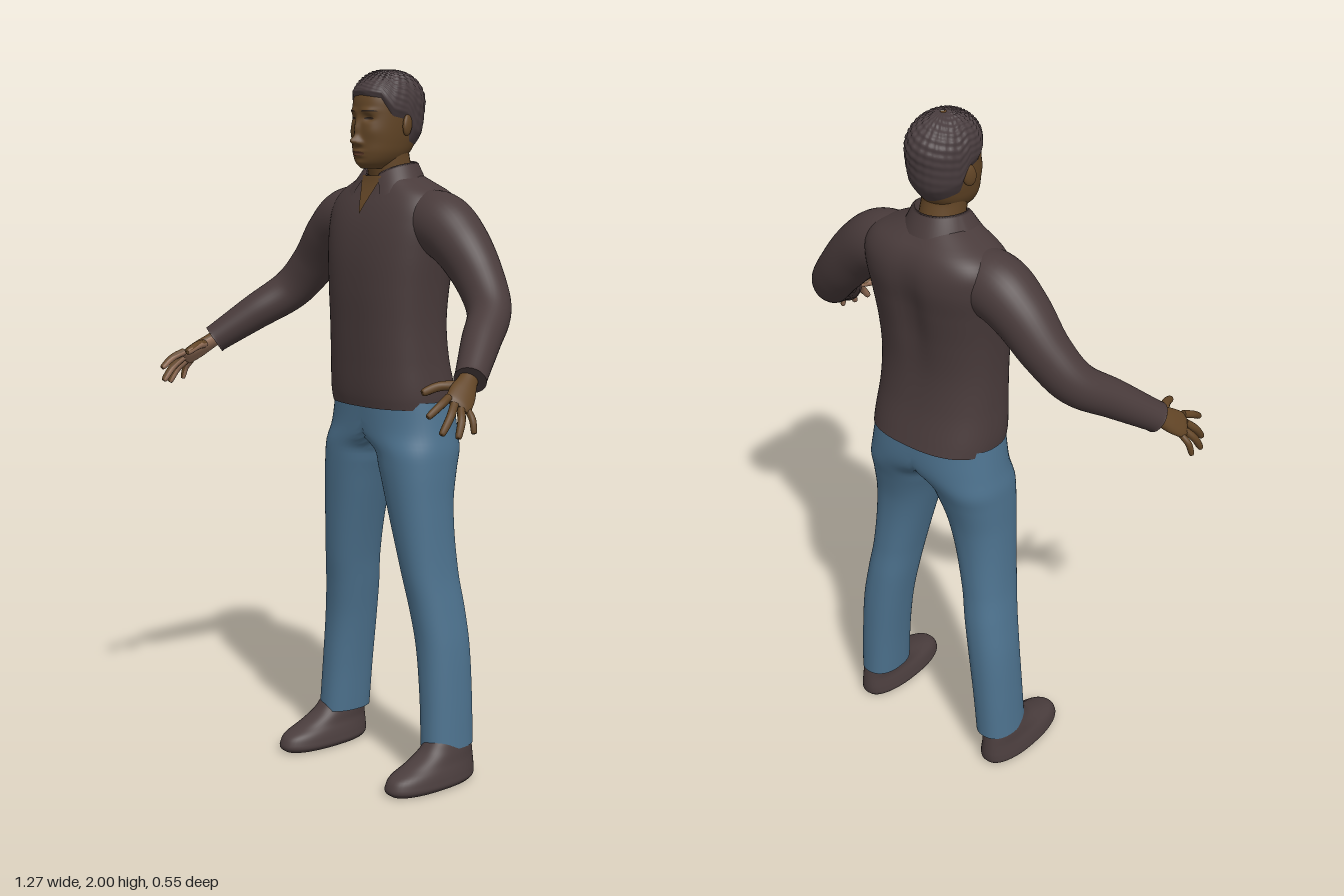
import * as THREE from 'three';
import { mergeGeometries, mergeVertices } from 'three/addons/utils/BufferGeometryUtils.js';

const V = (x, y, z) => new THREE.Vector3(x, y, z);
const mat = (name, color, side = THREE.FrontSide) => {
  const m = new THREE.MeshStandardMaterial({ color, side });
  m.name = name;
  return m;
};

// Smooth surface closed around u, running along v; f(u, v) gives a point
function surface(nu, nv, f, caps = true) {
  const pos = [], idx = [];
  for (let j = 0; j <= nv; j++)
    for (let i = 0; i < nu; i++) pos.push(...f(i / nu, j / nv).toArray());
  const tri = (a, b, c) => {
    if (pos[a * 3] || pos[b * 3] || pos[c * 3]) idx.push(a, b, c); // leave the mid-plane open
  };
  for (let j = 0; j < nv; j++)
    for (let i = 0; i < nu; i++) {
      const a = j * nu + i, b = j * nu + (i + 1) % nu;
      tri(a, b, a + nu);
      tri(b, b + nu, a + nu);
    }
  if (caps) for (const end of [0, 1]) {
    const start = pos.length / 3, c = V(0, 0, 0);
    for (let i = 0; i < nu; i++) {
      const p = f(i / nu, end);
      c.addScaledVector(p, 1 / nu);
      pos.push(p.x, p.y, p.z);
    }
    pos.push(c.x, c.y, c.z);
    for (let i = 0; i < nu; i++) {
      const a = start + i, b = start + (i + 1) % nu;
      idx.push(...(end ? [a, b, start + nu] : [b, a, start + nu]));
    }
  }
  return build(pos, idx);
}

function build(pos, idx) {
  const g = new THREE.BufferGeometry();
  g.setAttribute('position', new THREE.Float32BufferAttribute(pos, 3));
  g.setIndex(idx);
  g.computeVertexNormals();
  return g;
}

// Rows [y, xIn, xOut, zFront, zBack] become a smooth profile over y
const profile = rows => {
  const c = new THREE.CubicInterpolant(rows.map(r => r[0]), rows.flatMap(r => r.slice(1)), 4);
  return y => Array.from(c.evaluate(y));
};
const pw = (v, e) => Math.sign(v) * Math.abs(v) ** e;
function ring([x0, x1, zf, zb], y, a, n) {
  return V((x0 + x1) / 2 + (x1 - x0) / 2 * pw(Math.sin(a), 2 / n), y,
    (zf + zb) / 2 + (zf - zb) / 2 * pw(Math.cos(a), 2 / n));
}
const frontZ = ([x0, x1, zf, zb], x, n) => (zf + zb) / 2 + (zf - zb) / 2 *
  Math.max(0, 1 - Math.abs((x - (x0 + x1) / 2) / ((x1 - x0) / 2)) ** n) ** (1 / n);

// Tube through rows [x, y, z, radiusA, radiusB], with radiusA along ref
function limb(rows, ref, nu = 28, nv = 40) {
  const c = new THREE.CubicInterpolant(rows.map((_, i) => i), rows.flat(), 5);
  const at = t => Array.from(c.evaluate(t));
  return surface(nu, nv, (u, v) => {
    const t = v * (rows.length - 1);
    const p = at(t), q0 = at(Math.max(0, t - 0.05)), q1 = at(Math.min(rows.length - 1, t + 0.05));
    const T = V(q1[0] - q0[0], q1[1] - q0[1], q1[2] - q0[2]).normalize();
    const A = ref.clone().addScaledVector(T, -ref.dot(T)).normalize();
    const B = T.clone().cross(A), a = u * Math.PI * 2;
    return V(p[0], p[1], p[2]).addScaledVector(A, p[3] * Math.cos(a)).addScaledVector(B, p[4] * Math.sin(a));
  });
}

// Thin patch lying on a front surface z(x, y)
function patch(z, x0, x1, low, high, nx = 20, ny = 14) {
  const pos = [], idx = [];
  for (let j = 0; j <= ny; j++)
    for (let i = 0; i <= nx; i++) {
      const x = x0 + (x1 - x0) * i / nx, y = low(x) + (high(x) - low(x)) * j / ny;
      pos.push(x, y, z(x, y));
      const a = j * (nx + 1) + i, b = a + nx + 1;
      if (i < nx && j < ny) idx.push(a, a + 1, b, a + 1, b + 1, b);
    }
  return build(pos, idx);
}

function mirrored(geo) {
  const g = geo.clone(), ix = g.index.array;
  g.scale(-1, 1, 1);
  for (let i = 0; i < ix.length; i += 3) [ix[i], ix[i + 1]] = [ix[i + 1], ix[i]];
  g.computeVertexNormals();
  return g;
}

// Two material groups: faces turned towards dir go to the second
function splitByFacing(g, dir, limit) {
  const p = g.attributes.position, ix = g.index.array, parts = [[], []];
  const v = [V(), V(), V()], n = V();
  for (let i = 0; i < ix.length; i += 3) {
    v.forEach((q, k) => q.fromBufferAttribute(p, ix[i + k]));
    new THREE.Triangle(...v).getNormal(n);
    parts[n.dot(dir) > limit ? 1 : 0].push(ix[i], ix[i + 1], ix[i + 2]);
  }
  g.setIndex(parts.flat());
  g.addGroup(0, parts[0].length, 0);
  g.addGroup(parts[0].length, parts[1].length, 1);
  return g;
}

// Head shape: table below, dome above, with facial bumps [x, y, sizeX, sizeY, depth]
const headTable = profile([
  [1.73, -.03, .03, -.012, -.09], [1.745, -.046, .046, .003, -.13], [1.77, -.061, .061, .01, -.16],
  [1.8, -.069, .069, .011, -.18], [1.84, -.075, .075, .01, -.195], [1.88, -.078, .078, .007, -.2],
  [1.92, -.079, .079, .004, -.204], [2, -.079, .079, 0, -.204]]);
const bumps = [
  [0, 1.805, .012, .012, .025], [0, 1.838, .009, .026, .012], [.015, 1.8, .007, .007, .007],
  [.03, 1.887, .02, .008, .005], [.031, 1.866, .014, .009, -.008], [0, 1.777, .02, .005, .007],
  [0, 1.766, .018, .005, .007], [0, 1.743, .02, .01, .006], [.046, 1.83, .02, .02, .004]];
const face = (x, y) => bumps.reduce((s, [bx, by, sx, sy, d]) =>
  s + d * Math.exp(-(((Math.abs(x) - bx) / sx) ** 2) - ((y - by) / sy) ** 2), 0);
function headSection(y) {
  const s = y > 1.9 ? Math.sqrt(Math.max(0, 1 - ((y - 1.9) / .09) ** 2.2)) : 1;
  const [x0, x1, zf, zb] = headTable(y), m = (zf + zb) / 2;
  return [x0 * s, x1 * s, m + (zf - m) * s, m + (zb - m) * s];
}
function headPoint(a, y, off = 0) {
  const p = ring(headSection(y), y, a, 2.2);
  if (Math.cos(a) > 0) p.z += face(p.x, y);
  p.x += off * Math.sin(a);
  p.z += off * Math.cos(a);
  p.y += off * Math.max(0, (y - 1.9) / .09);
  return p;
}
const faceZ = (x, y) => frontZ(headSection(y), x, 2.2) + face(x, y) + .0015;

// Lower edge of the hair, from forehead round to nape
const hairEdge = a => {
  const t = Math.abs(Math.atan2(Math.sin(a), Math.cos(a))) / Math.PI;
  const k = [[0, 1.928], [.25, 1.92], [.38, 1.87], [.5, 1.862], [.6, 1.8], [1, 1.772]];
  const i = Math.max(1, k.findIndex(e => e[0] >= t - 1e-6));
  return THREE.MathUtils.mapLinear(t, k[i - 1][0], k[i][0], k[i - 1][1], k[i][1]);
};

export function createModel() {
  const root = new THREE.Group();
  root.name = 'standingMan';
  const shirt = mat('shirt', 0x493b3b, THREE.DoubleSide), jeans = mat('jeans', 0x4d728e, THREE.DoubleSide);
  const skin = mat('skin', 0x624526), palm = mat('palm', 0x9a745c), hairM = mat('hair', 0x483c3e);
  const shoeM = mat('shoe', 0x4b3e3e), dark = mat('browAndEye', 0x2a1e16), lipM = mat('lips', 0x533322);
  const add = (name, geo, m) => {
    const mesh = new THREE.Mesh(geo, m);
    mesh.name = name;
    root.add(mesh);
  };
  const pair = (name, geo, m) => {
    add('left' + name, geo, m);
    add('right' + name, mirrored(geo), m);
  };
  const TAU = Math.PI * 2;

  // Jeans: one leg with half the hips, mirrored and welded
  const legP = profile([
    [.105, .168, .285, -.05, -.212], [.25, .155, .277, -.055, -.215], [.4, .135, .265, -.055, -.215],
    [.5, .118, .25, -.045, -.21], [.6, .1, .235, -.03, -.2], [.8, .048, .222, -.01, -.2],
    [.9, .015, .22, -.003, -.222], [.95, -.01, .218, -.002, -.238], [1, -.12, .21, -.002, -.25],
    [1.09, -.2, .198, 0, -.25]]);
  const leg = surface(56, 70, (u, v) => {
    const y = .105 + .985 * v, p = ring(legP(y), y, u * TAU, 2.3);
    p.x = Math.max(0, p.x);
    return p;
  }, false);
  const both = [leg, mirrored(leg)].map(g => { g.deleteAttribute('normal'); return g; });
  const pants = mergeVertices(mergeGeometries(both), 1e-4);
  pants.computeVertexNormals();
  add('jeans', pants, jeans);

  // Shoes
  const shoeP = profile([
    [0, .185, .29, .085, -.2], [.01, .174, .301, .099, -.209], [.03, .174, .301, .098, -.212],
    [.05, .178, .297, .082, -.211], [.07, .184, .291, .035, -.209], [.1, .186, .286, -.025, -.205],
    [.13, .19, .28, -.055, -.2]]);
  pair('Shoe', surface(48, 26, (u, v) => ring(shoeP(.13 * v), .13 * v, u * TAU, 2.3)), shoeM);

  // Shirt body, with a shallow groove down the back
  const torsoP = profile([
    [1.07, -.188, .188, .015, -.272], [1.1, -.189, .189, .02, -.265], [1.2, -.182, .182, .025, -.242],
    [1.3, -.18, .18, .028, -.232], [1.4, -.186, .186, .03, -.238], [1.5, -.198, .198, .025, -.252],
    [1.58, -.208, .208, .01, -.262], [1.63, -.204, .204, -.008, -.255], [1.665, -.175, .175, -.025, -.237],
    [1.69, -.125, .125, -.036, -.212], [1.71, -.085, .085, -.042, -.19]]);
  add('shirtBody', surface(72, 70, (u, v) => {
    const y = 1.07 + .64 * v, a = u * TAU, p = ring(torsoP(y), y, a, 2.5);
    if (Math.cos(a) < 0) {
      p.z += .016 * Math.exp(-((p.x / .04) ** 2) - ((y - 1.48) / .14) ** 2);
      p.y += .014 * -Math.cos(a) * (1 - v) ** 8;
    }
    return p;
  }), shirt);

  // Sleeves
  pair('Sleeve', limb([
    [.08, 1.59, -.125, .08, .08], [.19, 1.58, -.125, .088, .09], [.27, 1.53, -.125, .08, .08],
    [.35, 1.443, -.12, .066, .069], [.42, 1.362, -.088, .058, .062], [.48, 1.295, 0, .052, .053],
    [.54, 1.225, .09, .043, .043], [.55, 1.213, .105, .043, .043]], V(0, 0, 1), 36, 56), shirt);

  // Open neckline, neck and folded collar
  add('openNeckline', patch((x, y) => frontZ(torsoP(y), x, 2.5) + .004, -.04, .04,
    x => 1.605 + Math.abs(x) * 2.5, () => 1.71), skin);
  add('neck', limb([[0, 1.64, -.115, .064, .066], [0, 1.7, -.112, .061, .064],
    [0, 1.76, -.1, .058, .062], [0, 1.81, -.1, .058, .06]], V(1, 0, 0)), skin);
  const cPos = [], cIdx = [], CN = 48;
  for (let i = 0; i <= CN; i++) {
    const u = i / CN * 2 - 1, a = Math.PI + u * (Math.PI - .38), f = Math.abs(u) ** 4;
    for (const [rx, rz, y] of [[.064, .068, 1.7], [.068, .071, 1.747 - .03 * f],
      [.076, .078, 1.742 - .034 * f], [.1, .1, 1.692 - .04 * f]])
      cPos.push(Math.sin(a) * rx * (1 + .6 * f * (y < 1.69)), y, -.112 + Math.cos(a) * rz);
    for (let k = 0; k < 3 && i < CN; k++) {
      const b = i * 4 + k;
      cIdx.push(b, b + 1, b + 4, b + 1, b + 5, b + 4);
    }
  }
  add('collar', build(cPos, cIdx), shirt);

  // Hands: palm, four fingers and thumb; inner side lighter
  const across = V(.05, -.05, -.11).normalize();
  const finger = (a, b, c, r) => limb([[...a, r, r], [...b, r, r], [...c, r * .8, r * .8],
    [...c.map((q, i) => q + (q - b[i]) * .12), r * .15, r * .15]], across, 12, 18);
  const knuckles = [[.572, 1.182, .2], [.585, 1.165, .192], [.594, 1.152, .178], [.598, 1.148, .158]];
  const tips = [[.578, 1.142, .272], [.604, 1.1, .25], [.625, 1.09, .215], [.629, 1.096, .166]];
  const parts = [limb([[.538, 1.228, .09, .026, .022], [.551, 1.21, .115, .027, .02],
    [.568, 1.187, .147, .036, .018], [.584, 1.166, .176, .037, .014], [.59, 1.158, .188, .03, .008]], across)];
  knuckles.forEach((k, i) => {
    const mid = k.map((q, j) => (q + tips[i][j]) / 2);
    mid[0] += .006;
    mid[1] += .004;
    parts.push(finger(k, mid, tips[i], [.0105, .011, .0105, .009][i]));
  });
  parts.push(finger([.556, 1.203, .13], [.525, 1.203, .185], [.511, 1.19, .228], .0125));
  const hand = splitByFacing(mergeGeometries(parts), V(-.82, -.56, -.11).normalize(), .45);
  pair('Hand', hand, [skin, palm]);

  // Head, ears and face
  add('head', surface(112, 110, (u, v) => headPoint(u * TAU, 1.73 + .26 * Math.sin(v * Math.PI / 2))), skin);
  const ear = new THREE.SphereGeometry(1, 20, 14);
  ear.scale(.01, .031, .02).rotateX(-.2).rotateY(.35).translate(.081, 1.848, -.1);
  pair('Ear', ear, skin);
  const arch = (c, w, h) => x => h * Math.sqrt(Math.max(0, 1 - ((x - c) / w) ** 2));
  const brow = arch(.033, .021, .004), lid = arch(.032, .013, .0035), lip = arch(0, .024, .006);
  pair('Eyebrow', patch(faceZ, .012, .054, x => 1.885 - brow(x) * .3, x => 1.885 + brow(x)), dark);
  pair('Eye', patch(faceZ, .019, .045, x => 1.866 - lid(x), x => 1.866 + lid(x)), dark);
  add('lips', patch(faceZ, -.024, .024, x => 1.771 - lip(x) * 1.2, x => 1.771 + lip(x) * 1.2), lipM);

  // Short, slightly tufted hair
  add('hair', surface(112, 60, (u, v) => {
    const a = u * TAU, y0 = hairEdge(a), y = y0 + (1.99 - y0) * Math.sin(v * Math.PI / 2);
    const tuft = Math.sin(a * 17 + v * 31) * Math.sin(a * 9 - v * 43) * .0025 * Math.min(1, v * 2) * (1 - v ** 6);
    return headPoint(a, y, -.001 + .009 * Math.min(1, v * 9) + tuft);
  }, false), hairM);

  return root;
}
